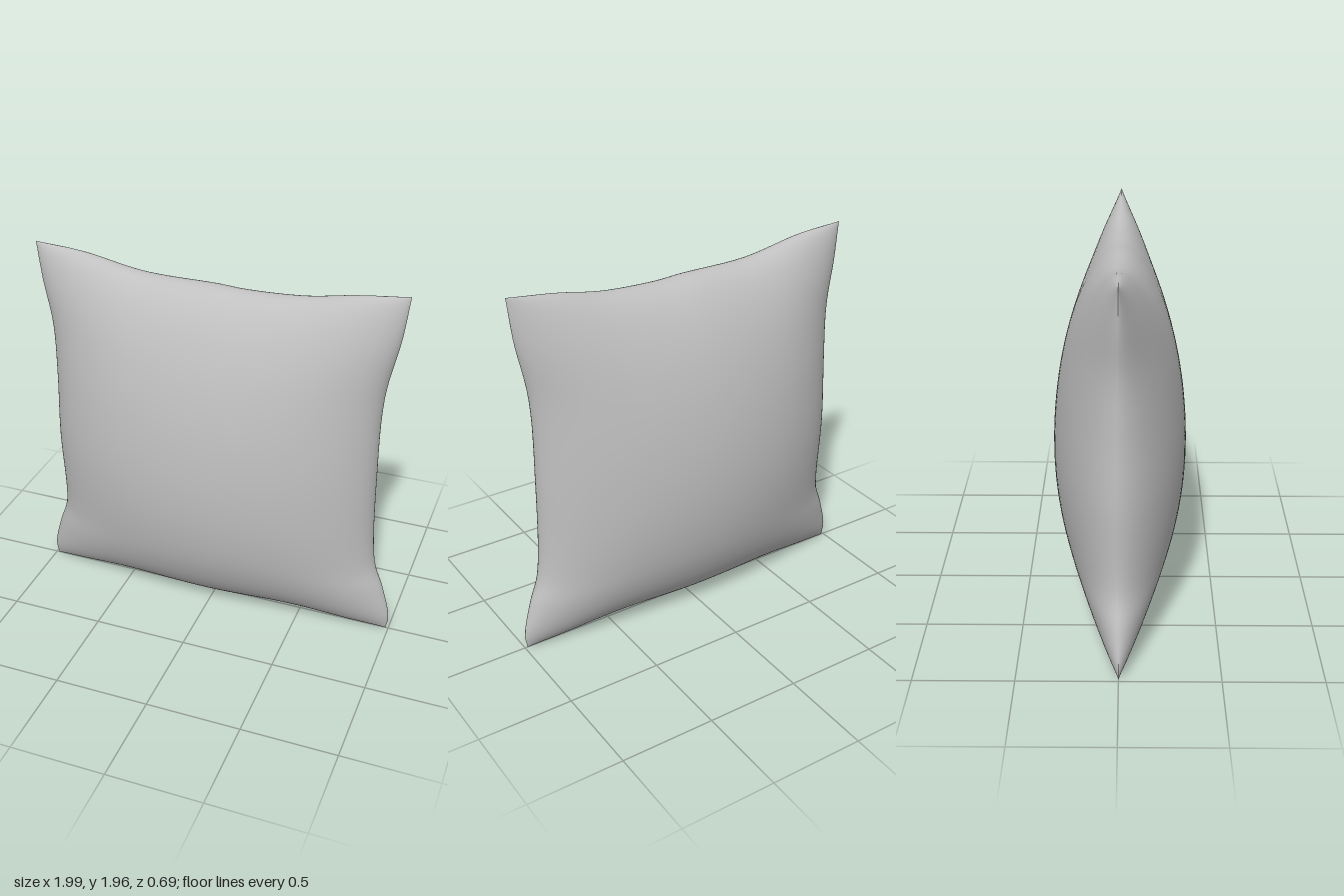
import * as THREE from 'three';

// Smooth edge curve through [x, y] points
const edge = (pts) => new THREE.CatmullRomCurve3(
  pts.map(([x, y]) => new THREE.Vector3(x, y, 0)), false, 'centripetal');

// The four seams: bottom and top run left to right, the sides run upwards
const BL = [-0.985, 0.012], BR = [0.985, 0.012], TL = [-0.975, 1.975], TR = [0.967, 1.975];
const bottom = edge([BL, [-0.8, 0.025], [-0.5, 0.05], [0, 0.048], [0.45, 0.058], [0.8, 0.025], BR]);
const top = edge([TL, [-0.72, 1.955], [-0.39, 1.895], [0, 1.887], [0.14, 1.88], [0.45, 1.895], [0.7, 1.94], TR]);
const left = edge([BL, [-0.995, 0.09], [-0.95, 0.27], [-0.9, 0.42], [-0.905, 0.9], [-0.897, 1.25],
  [-0.905, 1.54], [-0.95, 1.78], TL]);
const right = edge([BR, [0.995, 0.09], [0.95, 0.27], [0.897, 0.42], [0.87, 1], [0.88, 1.43], [0.94, 1.75], TR]);

// Blend of the four seams at s, t in 0..1
function blend(s, t) {
  const b = bottom.getPointAt(s), u = top.getPointAt(s);
  const l = left.getPointAt(t), r = right.getPointAt(t);
  const mix = (k, i) => (1 - t) * b[k] + t * u[k] + (1 - s) * l[k] + s * r[k]
    - (1 - s) * (1 - t) * BL[i] - s * (1 - t) * BR[i] - (1 - s) * t * TL[i] - s * t * TR[i];
  return [mix('x', 0), mix('y', 1)];
}

// One bulging half of the cushion; side is 1 for the front, -1 for the back
function panel(side) {
  const geo = new THREE.PlaneGeometry(2, 2, 56, 56);
  const pos = geo.attributes.position;
  for (let i = 0; i < pos.count; i++) {
    // finer spacing towards the seams
    const u = Math.sin(side * pos.getX(i) * Math.PI / 2);
    const v = Math.sin(pos.getY(i) * Math.PI / 2);
    const [x, y] = blend((u + 1) / 2, (v + 1) / 2);
    const low = v + 0.1 * (1 - v * v); // the filling sags slightly
    const puff = Math.pow(Math.max(0, 1 - u * u), 0.57) * Math.pow(Math.max(0, 1 - low * low), 0.54);
    pos.setXYZ(i, x, y, side * 0.345 * puff);
  }
  geo.computeVertexNormals();
  return geo;
}

export function createModel() {
  const group = new THREE.Group();
  group.name = 'cushion';
  const fabric = new THREE.MeshStandardMaterial({ color: 0xc0c0c0 });
  fabric.name = 'grey fabric';
  for (const [name, side] of [['frontPanel', 1], ['backPanel', -1]]) {
    const mesh = new THREE.Mesh(panel(side), fabric);
    mesh.name = name;
    group.add(mesh);
  }
  return group;
}
